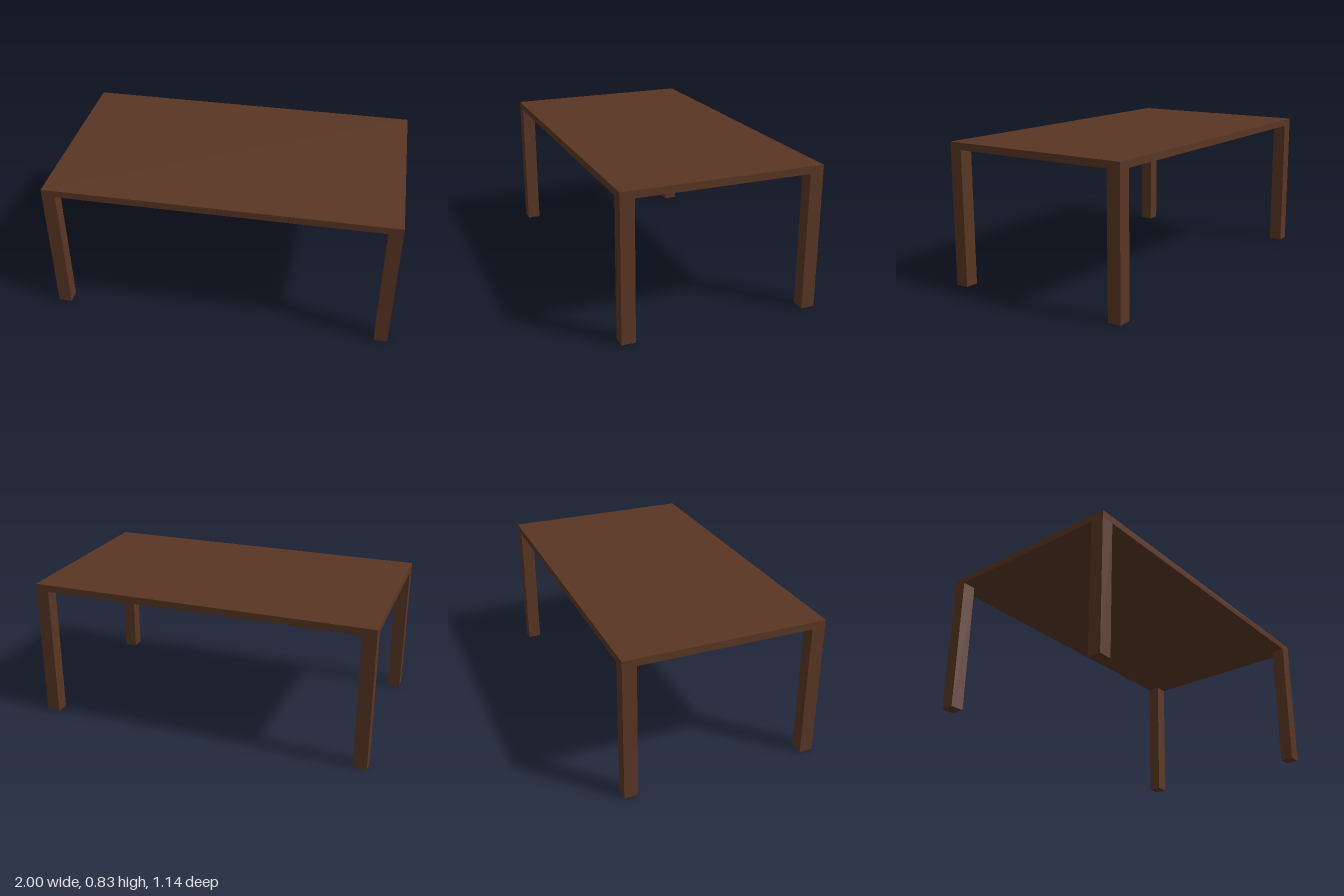
import * as THREE from 'three';

export function createModel() {
  const model = new THREE.Group();
  model.name = 'table';

  const wood = new THREE.MeshStandardMaterial({ color: 0x5a3624 });
  wood.name = 'dark brown wood';

  const width = 2, depth = 1.142, height = 0.828;
  const topThickness = 0.041, legSize = 0.078;
  const legHeight = height - topThickness;

  const addBox = (name, w, h, d, x, y, z) => {
    const mesh = new THREE.Mesh(new THREE.BoxGeometry(w, h, d), wood);
    mesh.name = name;
    mesh.position.set(x, y, z);
    model.add(mesh);
  };

  // Flat slab resting on the legs
  addBox('tableTop', width, topThickness, depth, 0, height - topThickness / 2, 0);

  // Square legs, flush with the corners of the slab
  for (const [xName, sx] of [['Left', 1], ['Right', -1]]) {
    for (const [zName, sz] of [['front', 1], ['back', -1]]) {
      addBox(`${zName}${xName}Leg`, legSize, legHeight, legSize,
        sx * (width - legSize) / 2, legHeight / 2, sz * (depth - legSize) / 2);
    }
  }
  return model;
}
